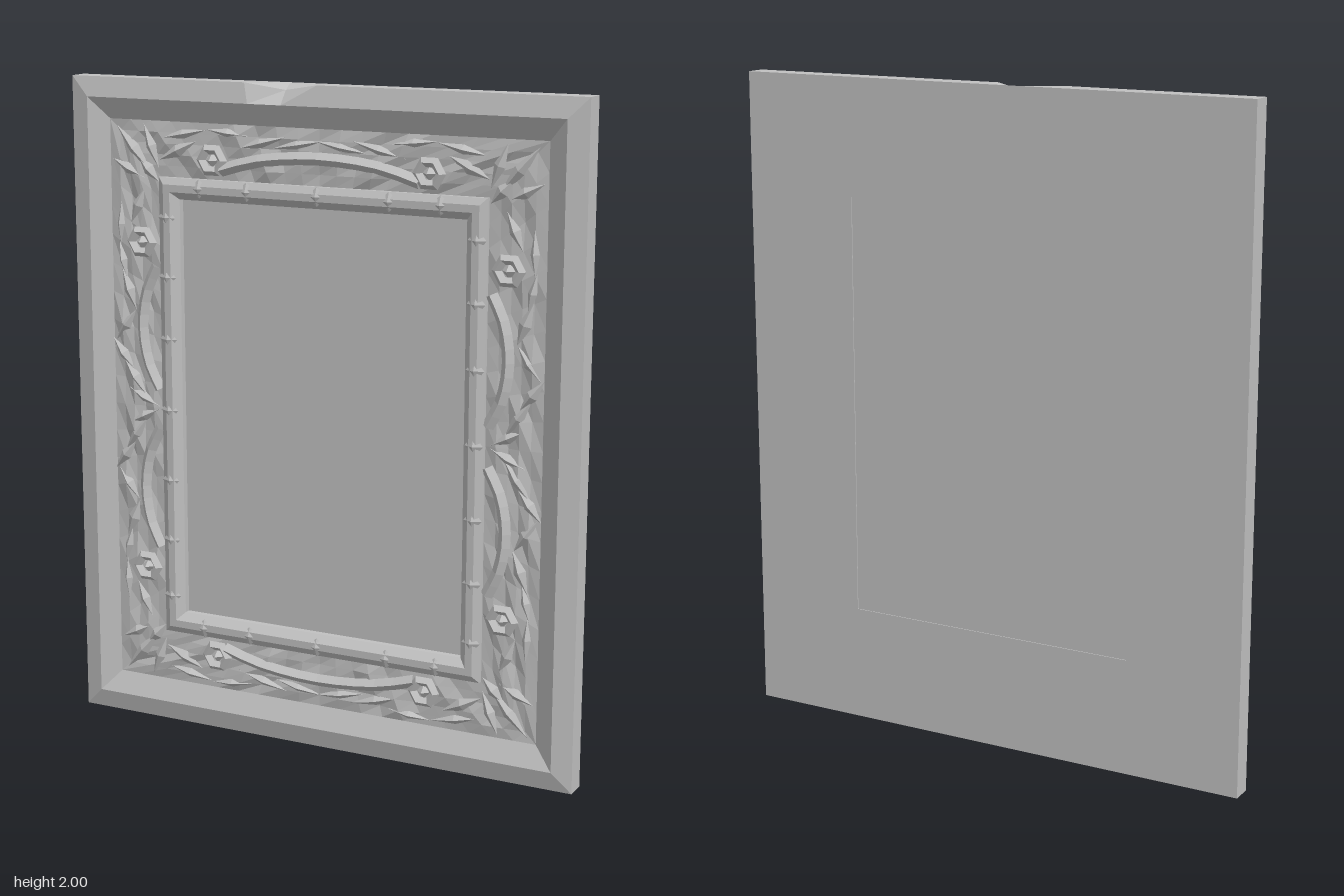
import * as THREE from 'three';

const CY = 1; // height of the frame's centre

// Non-indexed geometry with one normal per face, for the faceted carving
function facet(geo) {
  const g = geo.index ? geo.toNonIndexed() : geo;
  g.computeVertexNormals();
  return g;
}

// Rectangular moulding: loops of [half width, half height, z], from back outward to front inward
function moulding(loops, div, adjust = () => {}) {
  const pos = [], index = [], n = div * 4;
  const corners = [[1, -1], [1, 1], [-1, 1], [-1, -1]];
  loops.forEach(([hw, hh, z], k) => {
    for (let s = 0; s < 4; s++) {
      const a = corners[s], b = corners[(s + 1) % 4];
      for (let i = 0; i < div; i++) {
        const t = i / div;
        const p = new THREE.Vector3((a[0] + (b[0] - a[0]) * t) * hw, (a[1] + (b[1] - a[1]) * t) * hh, z);
        adjust(p, k, s, i);
        pos.push(p.x, p.y + CY, p.z);
      }
    }
  });
  for (let k = 0; k < loops.length - 1; k++) {
    for (let i = 0; i < n; i++) {
      const a = k * n + i, b = k * n + (i + 1) % n, c = b + n, d = a + n;
      index.push(a, b, c, a, c, d);
    }
  }
  const g = new THREE.BufferGeometry();
  g.setAttribute('position', new THREE.Float32BufferAttribute(pos, 3));
  g.setIndex(index);
  return facet(g);
}

export function createModel() {
  const root = new THREE.Group();
  root.name = 'pictureFrame';
  const grey = new THREE.MeshStandardMaterial({ color: 0xc0c0c0 });
  grey.name = 'grey plaster';

  const add = (name, geo, x = 0, y = 0, z = 0, angle = 0) => {
    const m = new THREE.Mesh(geo, grey);
    m.name = name;
    m.position.set(x, y, z);
    m.rotation.z = angle;
    root.add(m);
    return m;
  };

  // Outer frame, with a chip in the top front edge
  add('outerFrame', moulding([
    [0.465, 0.645, -0.037], [0.465, 0.645, -0.04], [0.825, 1, -0.04],
    [0.825, 1, 0.025], [0.765, 0.94, 0.04], [0.705, 0.875, 0.008],
  ], 14, (p, k, s, i) => {
    if (k === 3 && s === 1 && i === 8) { p.y -= 0.02; p.z = -0.01; }
  }));

  // Carved background between the two mouldings, mirrored on both axes
  const rows = 5, relief = [];
  for (let k = 0; k <= rows; k++) {
    const t = k / rows;
    relief.push([0.705 - 0.175 * t, 0.875 - 0.165 * t, 0.008]);
  }
  add('carvedPanel', moulding(relief, 20, (p, k) => {
    if (k === 0 || k === rows) return;
    const ax = Math.abs(p.x), ay = Math.abs(p.y);
    const n = Math.sin(41 * ax + 17 * ay + k) * Math.sin(33 * ay - 13 * ax + 2 * k);
    p.z += 0.003 + 0.009 * n;
  }));

  // Inner moulding around the opening
  add('innerFrame', moulding([
    [0.53, 0.71, 0.0], [0.53, 0.71, 0.022], [0.51, 0.69, 0.034],
    [0.488, 0.668, 0.034], [0.465, 0.645, 0.012], [0.465, 0.645, -0.012],
  ], 1));

  // Flat picture panel
  add('picturePanel', new THREE.BoxGeometry(0.93, 1.29, 0.029), 0, CY, -0.0225);

  // Pointed beads on the inner moulding
  const bead = facet(new THREE.OctahedronGeometry(1).scale(0.034, 0.029, 0.013));
  for (const s of [-1, 1]) {
    for (const x of [-0.39, -0.23, 0, 0.23, 0.39]) add('bead', bead, x, CY + s * 0.682, 0.027);
    for (const y of [-0.59, -0.41, -0.22, 0, 0.22, 0.41, 0.59]) {
      add('bead', bead, s * 0.502, CY + y, 0.027, Math.PI / 2);
    }
  }

  // Curved scroll bars
  const bar = (points) => facet(new THREE.TubeGeometry(
    new THREE.CatmullRomCurve3(points.map(([x, y]) => new THREE.Vector3(x, y, 0))), 10, 0.019, 4));
  for (const s of [-1, 1]) {
    add('endScroll', bar([[-0.32, 0.74], [-0.2, 0.773], [0, 0.79], [0.2, 0.773], [0.32, 0.74]]
      .map(([x, y]) => [x, s * y])), 0, CY, 0.016);
    for (const v of [-1, 1]) {
      add('sideScroll', bar([[0.545, 0.44], [0.582, 0.36], [0.598, 0.25], [0.58, 0.14], [0.54, 0.06]]
        .map(([x, y]) => [s * x, v * y])), 0, CY, 0.016);
    }
  }

  // Rosettes and leaves, repeated in all four quarters
  const ring = facet(new THREE.TorusGeometry(0.036, 0.016, 4, 6));
  const bud = facet(new THREE.OctahedronGeometry(0.022));
  const leaf = new THREE.OctahedronGeometry(1);
  // Each leaf: x, y from centre, angle, half length, half width
  const leaves = [
    [0.62, 0.79, 0.85, 0.09, 0.02], [0.56, 0.8, 1.2, 0.07, 0.018], [0.64, 0.73, 0.45, 0.06, 0.018],
    [0.57, 0.73, 0.8, 0.05, 0.02], [0.47, 0.79, 2.7, 0.07, 0.02], [0.45, 0.84, 2.95, 0.08, 0.014],
    [0.3, 0.85, 0.1, 0.07, 0.013], [0.19, 0.825, -0.25, 0.09, 0.014], [0.07, 0.826, -0.17, 0.08, 0.014],
    [0.61, 0.62, 2.0, 0.06, 0.018], [0.67, 0.56, 1.6, 0.07, 0.014], [0.665, 0.45, 1.35, 0.06, 0.014],
    [0.645, 0.36, 1.2, 0.07, 0.02], [0.66, 0.25, 2.2, 0.06, 0.018], [0.67, 0.16, 0.9, 0.06, 0.018],
    [0.63, 0.09, 0.95, 0.07, 0.018], [0.6, 0.03, 0.45, 0.06, 0.016],
  ];
  for (const sx of [-1, 1]) {
    for (const sy of [-1, 1]) {
      for (const [x, y] of [[0.35, 0.768], [0.595, 0.51]]) {
        add('rosetteRing', ring, sx * x, CY + sy * y, 0.018);
        add('rosetteBud', bud, sx * x, CY + sy * y, 0.015);
      }
      for (const [x, y, a, l, w] of leaves) {
        add('leaf', facet(leaf.clone().scale(l, w, 0.016)), sx * x, CY + sy * y, 0.012, a * sx * sy);
      }
    }
  }
  return root;
}
